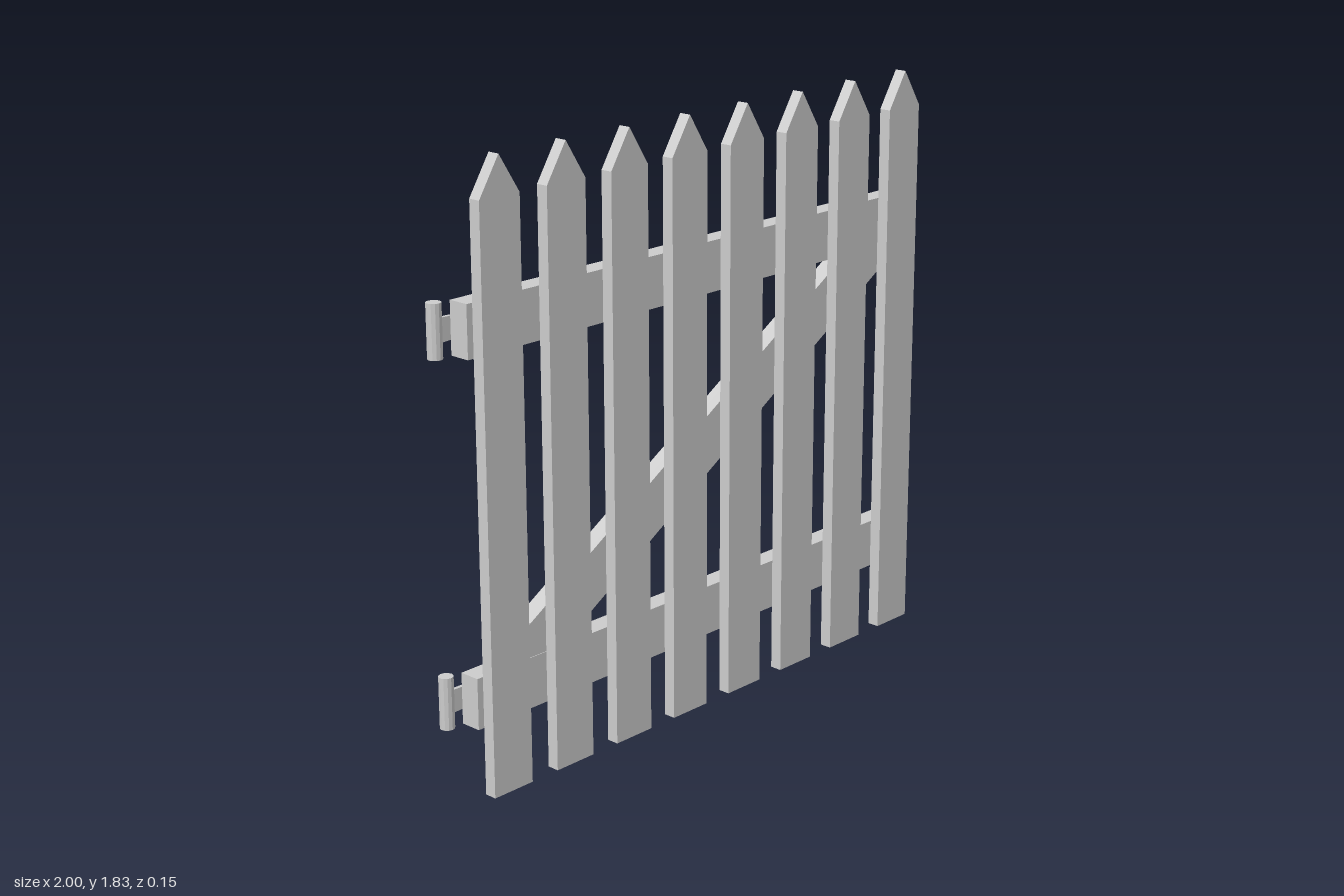
import * as THREE from 'three';

const material = new THREE.MeshStandardMaterial({ color: 0xcccccc, flatShading: true });

export function createModel() {
  const gate = new THREE.Group();
  gate.name = 'picketGate';

  const add = (name, geometry, x = 0, y = 0, z = 0) => {
    const mesh = new THREE.Mesh(geometry, material);
    mesh.name = name;
    mesh.position.set(x, y, z);
    gate.add(mesh);
    return mesh;
  };
  // Flat outline extruded along z
  const board = (points, depth) => new THREE.ExtrudeGeometry(
    new THREE.Shape(points.map(([x, y]) => new THREE.Vector2(x, y))),
    { depth, bevelEnabled: false });

  // Pointed pickets along the front
  const w = 0.0725;
  const picket = board([[-w, 0], [w, 0], [w, 1.72], [0, 1.834], [-w, 1.72]], 0.038);
  for (let i = 0; i < 8; i++) add('picket' + (i + 1), picket, -0.837 + i * 0.2443, 0, 0.035);

  // Horizontal rails and the diagonal brace between them
  const rail = new THREE.BoxGeometry(1.908, 0.155, 0.066);
  add('lowerRail', rail, 0.024, 0.283, 0.002);
  add('upperRail', rail, 0.024, 1.361, 0.002);
  const brace = add('diagonalBrace', new THREE.BoxGeometry(1.943, 0.154, 0.058), 0.024, 0.822, 0.004);
  brace.rotation.z = Math.atan(0.6);

  // Hinges: a tapered strap on the rail's back and an upright barrel
  const strap = board([[-0.97, -0.035], [-0.66, -0.024], [-0.66, 0.024], [-0.97, 0.035]], 0.012);
  const barrel = new THREE.CylinderGeometry(0.022, 0.022, 0.157, 12);
  for (const [level, y] of [['lower', 0.284], ['upper', 1.361]]) {
    add(level + 'HingeStrap', strap, 0, y, -0.043);
    add(level + 'HingeBarrel', barrel, -0.978, y, -0.042);
  }

  // Latch: an upright keeper plate with a sliding bolt through it
  add('latchPlate', new THREE.BoxGeometry(0.025, 0.178, 0.057), 0.958, 1.361, -0.045);
  const bolt = add('latchBolt', new THREE.CylinderGeometry(0.01, 0.01, 0.158, 10), 0.919, 1.4, -0.066);
  bolt.rotation.z = Math.PI / 2;

  return gate;
}
